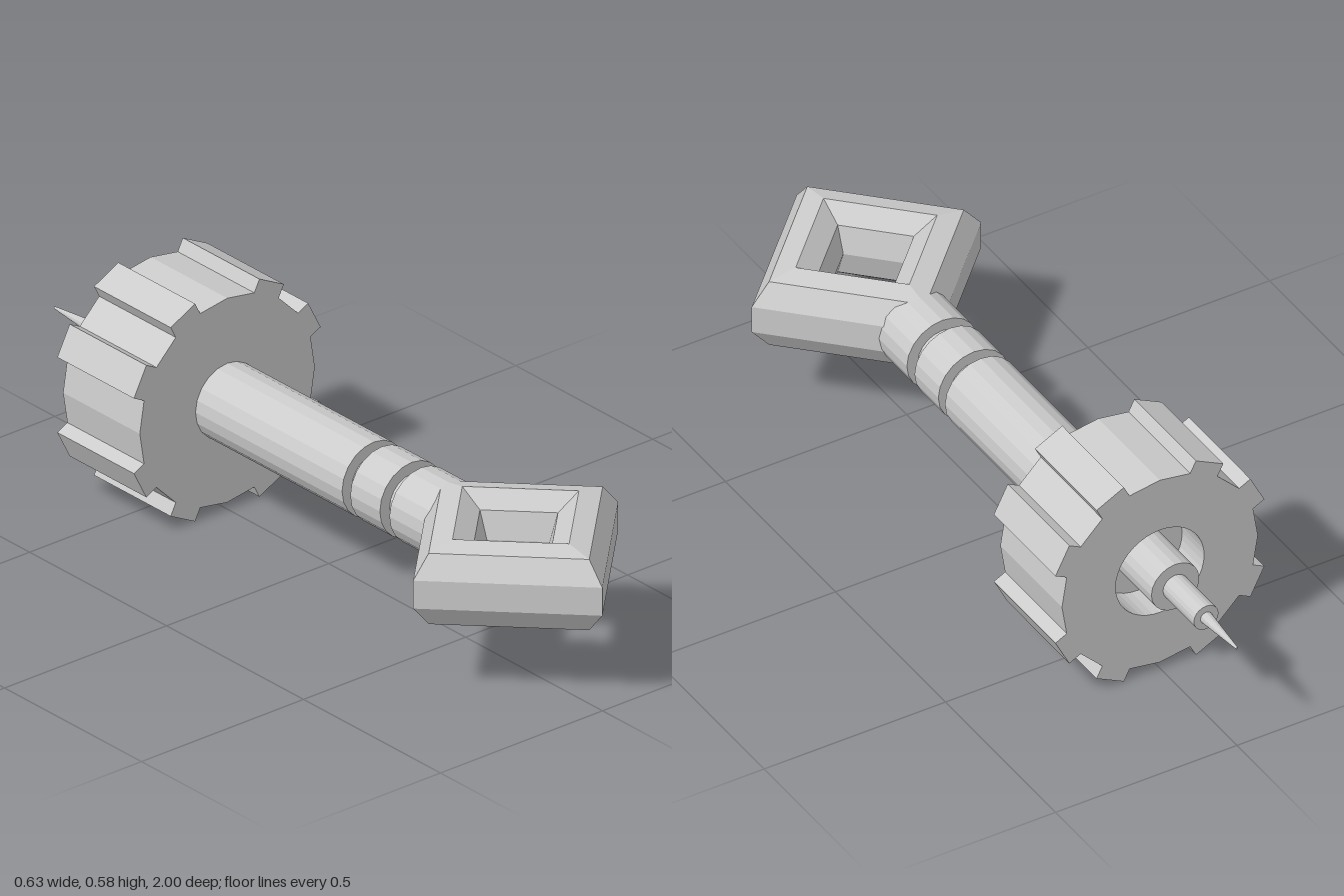
import * as THREE from 'three';

const material = new THREE.MeshStandardMaterial({ color: 0xcccccc, flatShading: true });
const AXIS_Y = 0.289;

export function createModel() {
  const group = new THREE.Group();

  const add = (name, geometry) => {
    const mesh = new THREE.Mesh(geometry, material);
    mesh.name = name;
    mesh.position.y = AXIS_Y;
    group.add(mesh);
    return mesh;
  };

  // Turned part lying along z: profile of [radius, z] with z increasing
  const turned = (name, profile, sides = 20) => {
    const points = profile.map(([r, z]) => new THREE.Vector2(r, z));
    return add(name, new THREE.LatheGeometry(points, sides).rotateX(Math.PI / 2));
  };

  // Main shaft with two grooves and a collar that sinks into the handle
  turned('shaft', [
    [0, -0.4], [0.098, -0.4], [0.098, 0.165], [0.068, 0.165], [0.068, 0.195],
    [0.098, 0.195], [0.098, 0.303], [0.068, 0.303], [0.068, 0.338],
    [0.098, 0.338], [0.098, 0.465], [0, 0.465],
  ]);

  // Stepped spindle and needle at the back
  turned('spindle', [
    [0, -0.86], [0.034, -0.86], [0.034, -0.72], [0.066, -0.72], [0.066, -0.54], [0, -0.54],
  ]);
  turned('needle', [[0, -1], [0.003, -1], [0.016, -0.86], [0, -0.86]], 12);

  // Gear outline: a 20-gon with teeth on two sides of every quadrant
  const gearShape = () => {
    const shape = new THREE.Shape();
    const step = Math.PI / 10;
    const r = 0.27;
    const toothHeight = 0.035;
    for (let i = 0; i < 20; i++) {
      const a = i * step, b = a + step, mid = a + step / 2;
      const x = r * Math.cos(a), y = r * Math.sin(a);
      if (i === 0) shape.moveTo(x, y);
      else shape.lineTo(x, y);
      if (i % 5 === 1 || i % 5 === 3) {
        const dx = toothHeight * Math.cos(mid), dy = toothHeight * Math.sin(mid);
        shape.lineTo(x + dx, y + dy);
        shape.lineTo(r * Math.cos(b) + dx, r * Math.sin(b) + dy);
      }
    }
    return shape;
  };
  const gearSlab = (name, shape, z0, z1) =>
    add(name, new THREE.ExtrudeGeometry(shape, {
      depth: z1 - z0, bevelEnabled: false, curveSegments: 20,
    }).translate(0, 0, z0));

  // Solid front of the gear, and the back with its round recess
  gearSlab('gearFront', gearShape(), -0.55, -0.37);
  const recessed = gearShape();
  recessed.holes.push(new THREE.Path().absarc(0, 0, 0.122, 0, Math.PI * 2, true));
  gearSlab('gearBack', recessed, -0.65, -0.55);

  // Diamond handle: a nine-sided section swept round four corners
  const section = [];
  for (let i = 0; i <= 9; i++) {
    const a = THREE.MathUtils.degToRad(-20 + 40 * i);
    section.push(new THREE.Vector2(0.214 + 0.109 * Math.cos(a), 0.108 * Math.sin(a)));
  }
  const handle = add('handle', new THREE.LatheGeometry(section, 4));
  handle.position.z = 0.683;

  return group;
}
